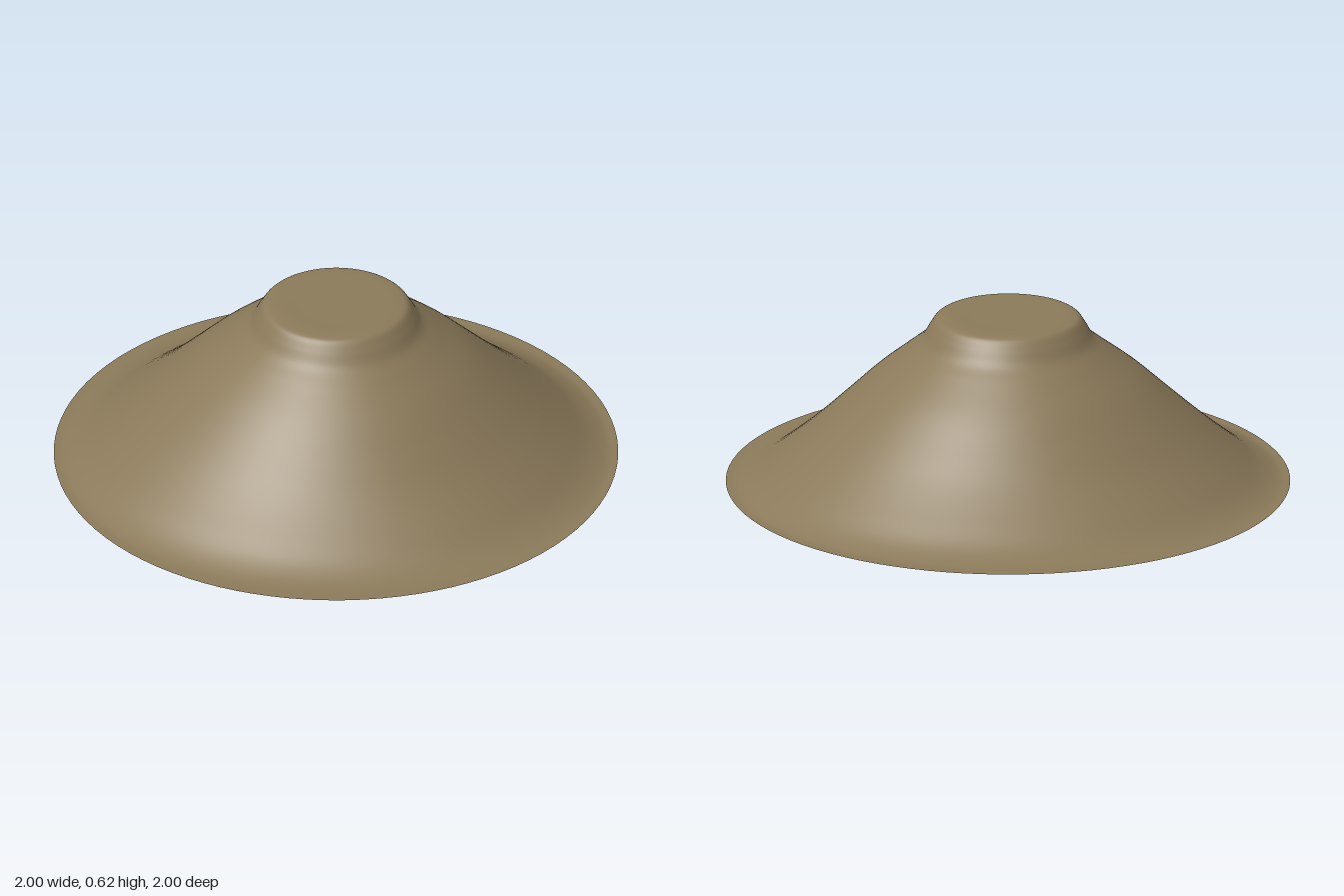
import * as THREE from 'three';
import { mergeVertices } from 'three/addons/utils/BufferGeometryUtils.js';

// Slope profile from rim to plateau: [radius along x, height, radius along z]
const PROFILE = [
  [1, 0, 1], [0.96, 0.004, 0.925], [0.895, 0.035, 0.85], [0.81, 0.1, 0.765],
  [0.7, 0.195, 0.655], [0.59, 0.295, 0.56], [0.48, 0.395, 0.465],
  [0.36, 0.488, 0.36], [0.305, 0.535, 0.305], [0.278, 0.58, 0.275],
  [0.255, 0.612, 0.25], [0.225, 0.62, 0.225], [0.12, 0.62, 0.12], [0, 0.62, 0],
];

export function createModel() {
  const group = new THREE.Group();
  group.name = 'hill';

  // Smooth the profile and spin it into an open shell
  const curve = new THREE.CatmullRomCurve3(
    PROFILE.map((p) => new THREE.Vector3(...p)), false, 'centripetal');
  const rings = curve.getPoints(78);
  let geometry = new THREE.LatheGeometry(
    rings.map((p) => new THREE.Vector2(Math.max(p.x, 0), p.y)), 96);

  // Narrow the mid slopes along z, keeping the rim and plateau round
  const pos = geometry.attributes.position;
  for (let i = 0; i < pos.count; i++) {
    const ring = rings[i % rings.length];
    if (ring.x > 1e-4) pos.setZ(i, pos.getZ(i) * ring.z / ring.x);
  }

  // Weld the seam so the shading stays smooth all round
  geometry.deleteAttribute('uv');
  geometry.deleteAttribute('normal');
  geometry = mergeVertices(geometry, 1e-4);
  geometry.computeVertexNormals();

  const earth = new THREE.MeshStandardMaterial({ color: 0x8b7a5a, side: THREE.DoubleSide });
  const mound = new THREE.Mesh(geometry, earth);
  mound.name = 'mound';
  group.add(mound);
  return group;
}
